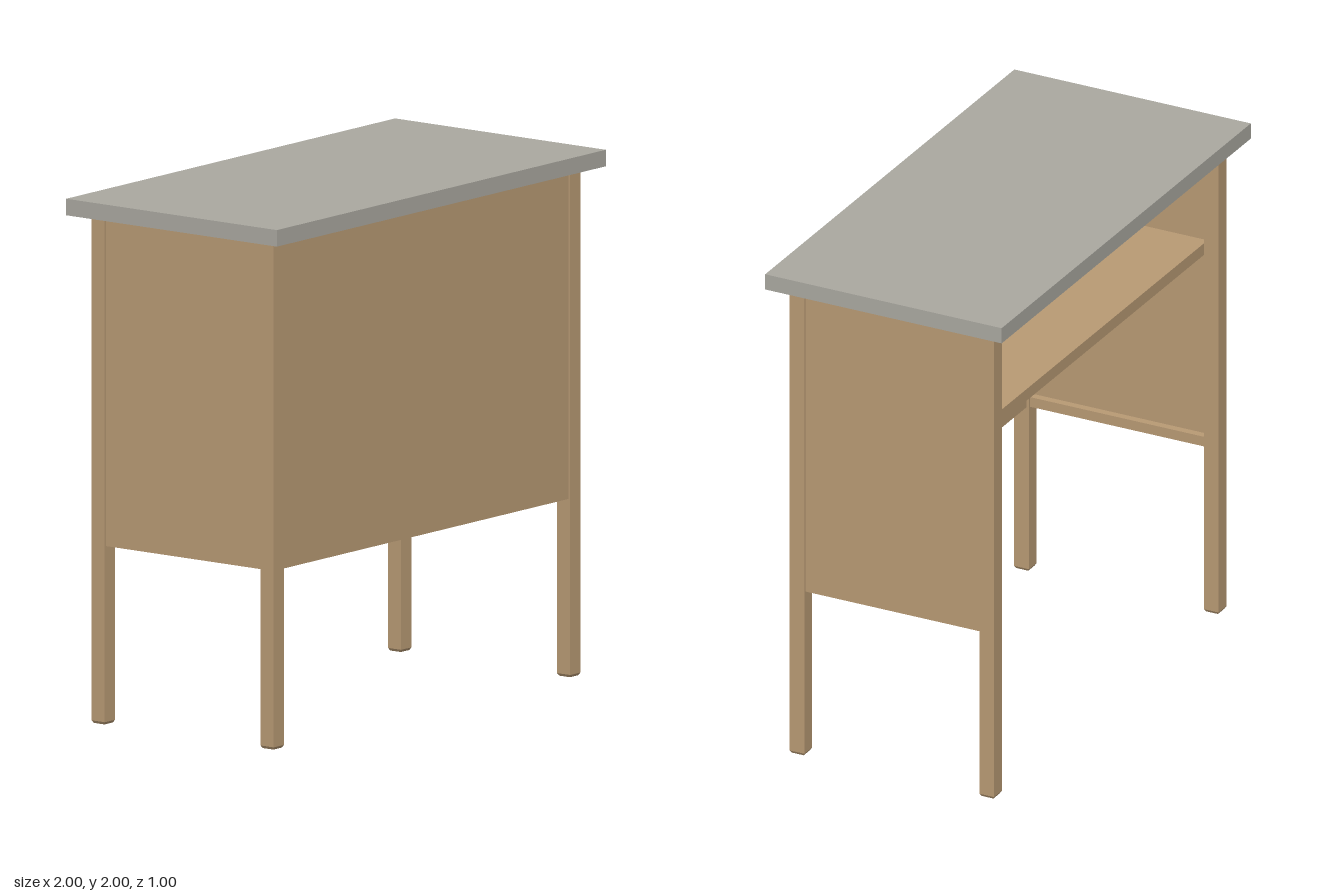
import * as THREE from 'three';

export function createModel() {
  const group = new THREE.Group();
  const wood = new THREE.MeshStandardMaterial({ color: 0xb89a74 });
  wood.name = 'wood';
  const stone = new THREE.MeshStandardMaterial({ color: 0xaaa8a0 });
  stone.name = 'greyTop';

  // Box given by its min and max along each axis
  function box(name, [x0, x1], [y0, y1], [z0, z1], material = wood) {
    const mesh = new THREE.Mesh(new THREE.BoxGeometry(x1 - x0, y1 - y0, z1 - z0), material);
    mesh.position.set((x0 + x1) / 2, (y0 + y1) / 2, (z0 + z1) / 2);
    mesh.name = name;
    group.add(mesh);
    return mesh;
  }

  const topY = 1.937, panelY = 0.68;
  const legX = 0.901, legZ = 0.401, leg = 0.0625, chamfer = 0.01;
  const innerX = legX - leg / 2, innerZ = legZ - leg / 2;

  // Table top
  box('tableTop', [-1, 1], [topY, 2], [-0.5, 0.5], stone);

  // Four square legs with chamfered feet
  const footGeometry = new THREE.CylinderGeometry(
    leg / Math.SQRT2, (leg - 0.012) / Math.SQRT2, chamfer, 4, 1
  ).rotateY(Math.PI / 4).toNonIndexed();
  footGeometry.computeVertexNormals();
  for (const sx of [-1, 1]) {
    for (const sz of [-1, 1]) {
      const x = sx * legX, z = sz * legZ;
      box('leg', [x - leg / 2, x + leg / 2], [chamfer, topY], [z - leg / 2, z + leg / 2]);
      const foot = new THREE.Mesh(footGeometry, wood);
      foot.position.set(x, chamfer / 2, z);
      foot.name = 'foot';
      group.add(foot);
    }
  }

  // Thin panels set slightly back from the legs, with a rail inside the lower edge
  const railY = [panelY, panelY + 0.04];
  box('frontPanel', [-innerX, innerX], [panelY, topY], [0.41, 0.424]);
  box('frontRail', [-innerX, innerX], railY, [0.38, 0.41]);
  for (const s of [-1, 1]) {
    const span = (a, b) => [Math.min(s * a, s * b), Math.max(s * a, s * b)];
    box('sidePanel', span(0.91, 0.924), [panelY, topY], [-innerZ, innerZ]);
    box('sideRail', span(0.88, 0.91), railY, [-innerZ, innerZ]);
  }

  // Shelf board carried by a rail at its front and back
  box('shelf', [-0.91, 0.91], [1.51, 1.523], [-0.365, innerZ]);
  box('shelfBackRail', [-0.91, 0.91], [1.475, 1.51], [-0.365, -0.34]);
  box('shelfFrontRail', [-0.91, 0.91], [1.475, 1.51], [0.345, innerZ]);
  box('shelfFrontEdge', [-innerX, innerX], [1.475, 1.523], [innerZ, 0.41]);

  return group;
}
